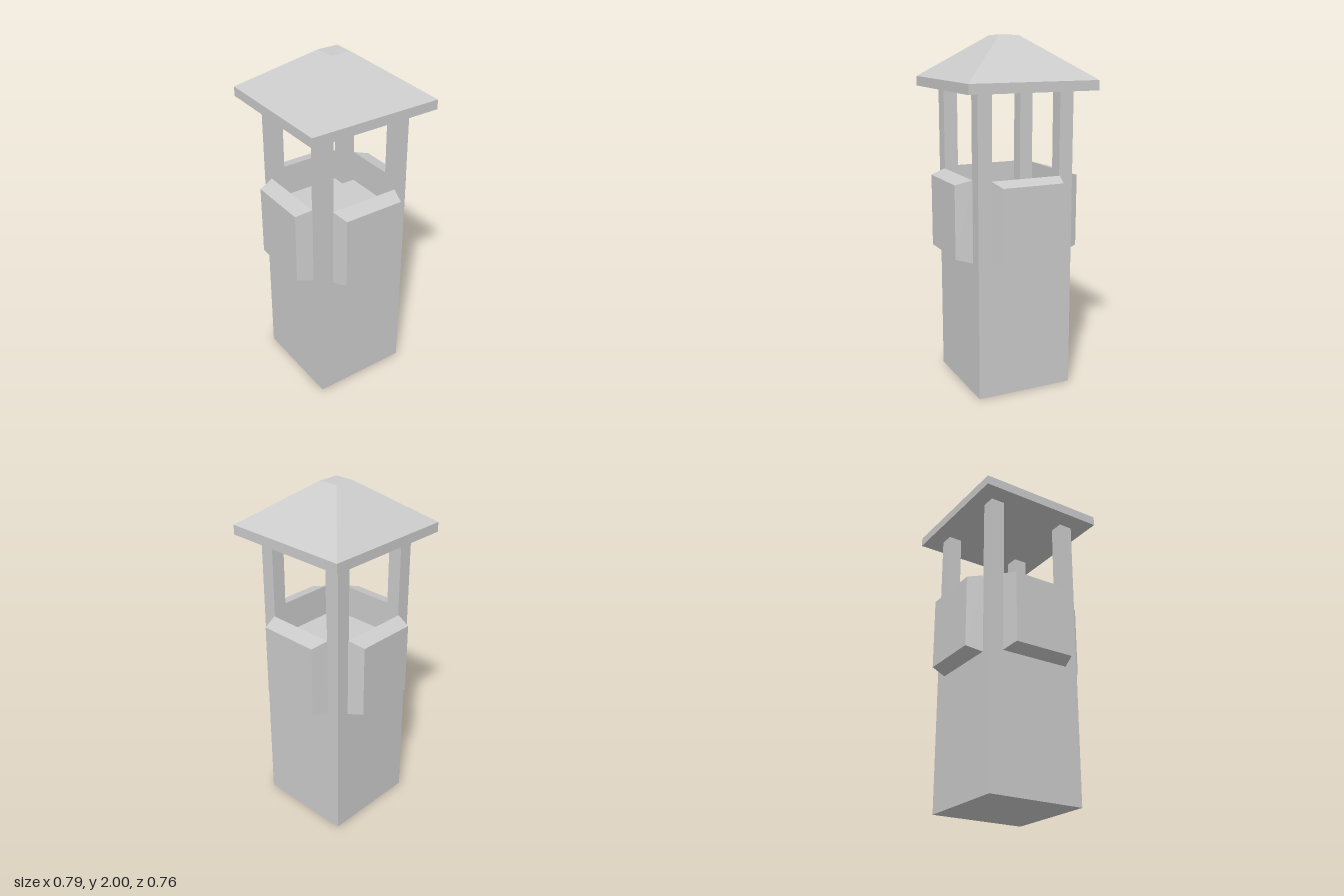
import * as THREE from 'three';

const material = new THREE.MeshStandardMaterial({ color: 0xcccccc, flatShading: true });

function addMesh(parent, name, geometry, x = 0, y = 0, z = 0) {
  const mesh = new THREE.Mesh(geometry, material);
  mesh.name = name;
  mesh.position.set(x, y, z);
  parent.add(mesh);
  return mesh;
}

// Box whose +z end is scaled down to a smaller rectangle
function taperedBox(width, height, depth, endWidth, endHeight) {
  const geometry = new THREE.BoxGeometry(width, height, depth);
  const p = geometry.attributes.position;
  for (let i = 0; i < p.count; i++) {
    if (p.getZ(i) > 0) {
      p.setX(i, p.getX(i) * endWidth / width);
      p.setY(i, p.getY(i) * endHeight / height);
    }
  }
  geometry.computeVertexNormals();
  return geometry;
}

export function createModel() {
  const tower = new THREE.Group();
  tower.name = 'watchtower';
  const half = 0.285, floorY = 1.05, eavesY = 1.71;

  // Solid shaft, its top is the lookout floor
  addMesh(tower, 'shaft', new THREE.BoxGeometry(half * 2, floorY, half * 2), 0, floorY / 2, 0);

  // Corner posts carrying the roof
  const post = 0.082, postHeight = eavesY - floorY;
  for (const sx of [-1, 1]) {
    for (const sz of [-1, 1]) {
      addMesh(tower, 'cornerPost', new THREE.BoxGeometry(post, postHeight, post),
        sx * (half - post / 2), floorY + postHeight / 2, sz * (half - post / 2));
    }
  }

  // Bevelled parapet panel on each side
  const panelDepth = 0.092;
  for (let i = 0; i < 4; i++) {
    const side = new THREE.Group();
    side.name = 'parapet';
    side.rotation.y = i * Math.PI / 2;
    addMesh(side, 'parapetPanel', taperedBox(0.415, 0.465, panelDepth, 0.36, 0.415),
      0, 1.008, half + panelDepth / 2);
    tower.add(side);
  }

  // Roof: flat eaves slab and a truncated pyramid
  const roofX = 0.786, roofZ = 0.76, slabTop = 1.765;
  addMesh(tower, 'eaves', new THREE.BoxGeometry(roofX, slabTop - eavesY, roofZ), 0, (slabTop + eavesY) / 2, 0);
  const rise = 2 - slabTop;
  const roof = taperedBox(roofX, roofZ, rise, 0.122, 0.118).rotateX(-Math.PI / 2);
  addMesh(tower, 'roof', roof, 0, slabTop + rise / 2, 0);

  return tower;
}
